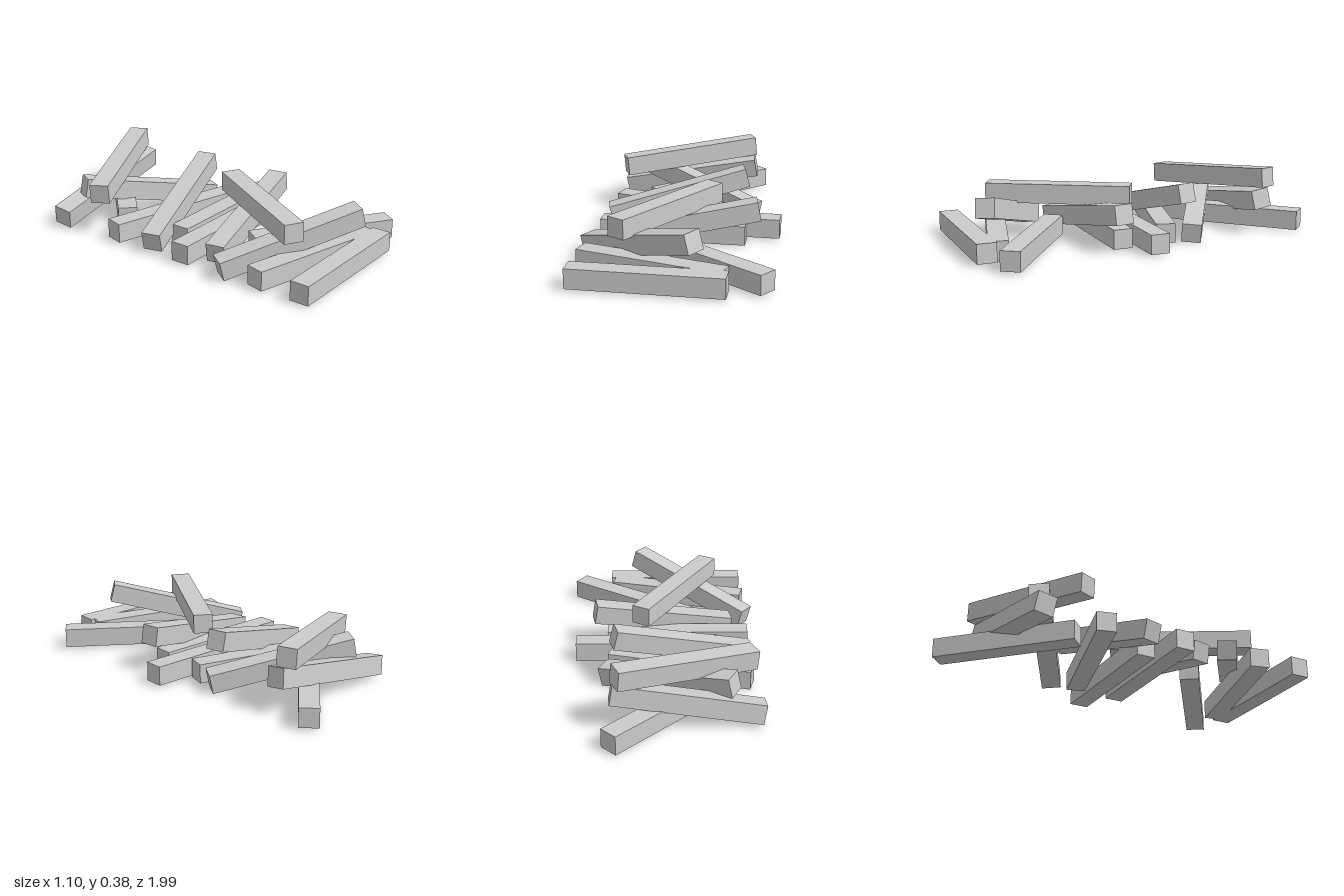
import * as THREE from 'three';

const LENGTH = 0.825;
const SIDE = 0.11;
const FLAT_Y = 0.062; // centre height of a beam lying on the ground

// Each beam: centre x, y, z, then yaw, pitch and roll in degrees
const groundBeams = [
  [-0.09, FLAT_Y, 0.942, 0, 0, 0],
  [-0.10, FLAT_Y, 0.77, -14.5, 0, 0],
  [0.178, FLAT_Y, 0.643, -34.5, 0, 0],
  [-0.09, FLAT_Y, 0.175, 0, 0, 0],
  [0.09, FLAT_Y, 0.032, 0, 0, 0],
  [-0.10, FLAT_Y, -0.198, -15, 0, 0],
  [-0.008, FLAT_Y, -0.667, 45, 0, 0],
];

const leaningBeams = [
  [-0.18, 0.16, 0.67, -35, 14.5, 3],
  [-0.003, 0.142, 0.27, 10, 10.5, 0],
  [-0.112, 0.172, -0.13, 15, 14.5, 0],
  [-0.024, 0.133, -0.44, -30, -11, -4],
  [-0.127, 0.133, -0.69, 2.5, 10, 8],
];

const topBeams = [
  [-0.08, 0.263, 0.405, 60, 0, 0],
  [-0.118, 0.2875, -0.587, 25, 4.8, -2],
];

export function createModel() {
  const model = new THREE.Group();
  model.name = 'beamPile';

  const geometry = new THREE.BoxGeometry(LENGTH, SIDE, SIDE);
  const material = new THREE.MeshStandardMaterial({ color: 0xcccccc, flatShading: true });
  const rad = THREE.MathUtils.degToRad;

  const addLayer = (name, beams) => {
    const layer = new THREE.Group();
    layer.name = name + 's';
    beams.forEach(([x, y, z, yaw, pitch, roll], i) => {
      const beam = new THREE.Mesh(geometry, material);
      beam.name = name + (i + 1);
      beam.position.set(x, y, z);
      beam.rotation.set(rad(roll), rad(yaw), rad(pitch), 'YZX');
      layer.add(beam);
    });
    model.add(layer);
  };

  addLayer('groundBeam', groundBeams);
  addLayer('leaningBeam', leaningBeams);
  addLayer('topBeam', topBeams);
  return model;
}
